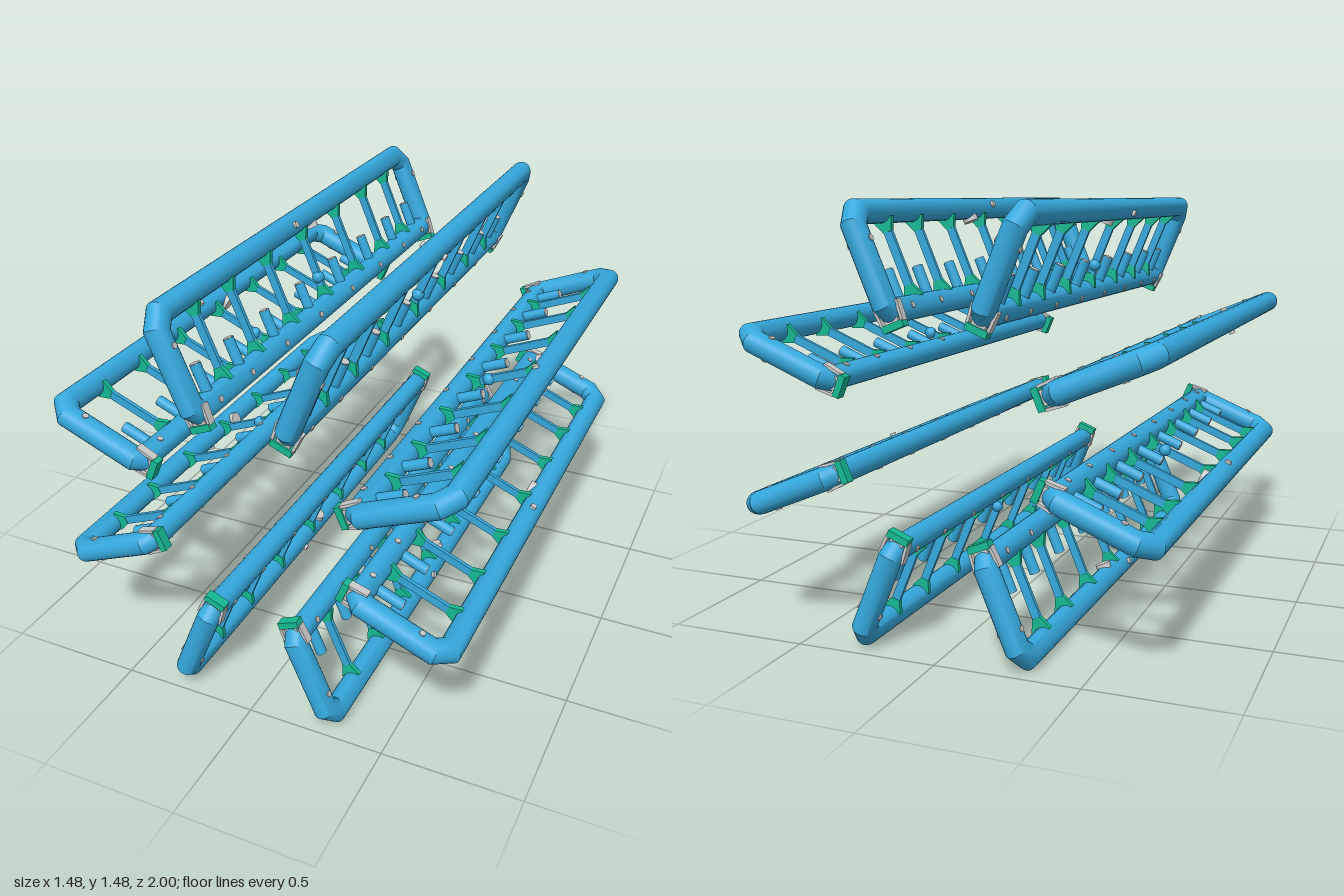
import * as THREE from 'three';
import { toCreasedNormals } from 'three/addons/utils/BufferGeometryUtils.js';

const blue = new THREE.MeshStandardMaterial({ color: 0x35a8dc });
const teal = new THREE.MeshStandardMaterial({ color: 0x14b892 });
const grey = new THREE.MeshStandardMaterial({ color: 0xcccccc });

// Coil frame: local x is radial, y tangential, z along the axis
const R = 0.041, INNER = 0.422, OUTER = 0.756, END = 0.959, AXIS_Y = 0.74;

// Closed round tube with mitred corners through [x, z] points
function mitredLoop(points, radius, sides = 24) {
  const n = points.length, pos = [], index = [];
  const normal = (a, b) => {
    const dx = b[0] - a[0], dz = b[1] - a[1], l = Math.hypot(dx, dz);
    return [dz / l, -dx / l];
  };
  for (let i = 0; i < n; i++) {
    const p = points[i];
    const n1 = normal(points[(i + n - 1) % n], p), n2 = normal(p, points[(i + 1) % n]);
    const k = 1 + n1[0] * n2[0] + n1[1] * n2[1];
    const m = [(n1[0] + n2[0]) / k, (n1[1] + n2[1]) / k];
    for (let j = 0; j < sides; j++) {
      const a = (j / sides) * Math.PI * 2, c = radius * Math.cos(a);
      pos.push(p[0] + m[0] * c, radius * Math.sin(a), p[1] + m[1] * c);
      const j2 = (j + 1) % sides, r0 = i * sides, r1 = ((i + 1) % n) * sides;
      index.push(r0 + j, r0 + j2, r1 + j, r0 + j2, r1 + j2, r1 + j);
    }
  }
  const g = new THREE.BufferGeometry();
  g.setAttribute('position', new THREE.Float32BufferAttribute(pos, 3));
  g.setIndex(index);
  return toCreasedNormals(g, 0.5);
}

const radialCylinder = (r, len) => new THREE.CylinderGeometry(r, r, len, 16).rotateZ(-Math.PI / 2);

// Flat trapezoid that widens towards x = 0, thin along z
function flareGeometry(length, wide, narrow, depth) {
  const s = new THREE.Shape([
    new THREE.Vector2(0, -wide), new THREE.Vector2(length, -narrow),
    new THREE.Vector2(length, narrow), new THREE.Vector2(0, wide),
  ]);
  return new THREE.ExtrudeGeometry(s, { depth, bevelEnabled: false }).translate(0, 0, -depth / 2);
}

const co = 0.045, ci = 0.026;
const geo = {
  casing: mitredLoop([
    [OUTER, -END + co], [OUTER, END - co], [OUTER - co, END], [INNER + ci, END],
    [INNER, END - ci], [INNER, -END + ci], [INNER + ci, -END], [OUTER - co, -END],
  ], R),
  rib: new THREE.BoxGeometry(OUTER - INNER, 0.03, 0.015),
  flare: flareGeometry(0.045, 0.036, 0.015, 0.018),
  stub: radialCylinder(0.019, 0.135),
  stubCap: radialCylinder(0.0165, 0.004),
  pin: new THREE.CylinderGeometry(0.011, 0.011, 2 * R + 0.006, 12),
  sidePort: new THREE.CylinderGeometry(0.012, 0.012, 2 * R + 0.02, 12),
  port: radialCylinder(0.028, 0.03),
  clamp: new THREE.SphereGeometry(0.023, 16, 12),
  foot: new THREE.BoxGeometry(0.024, 0.078, 0.036),
  web: new THREE.BoxGeometry(0.03, 0.05, 0.024),
  cheek: new THREE.BoxGeometry(0.07, 0.01, 0.03),
};

function createCoil() {
  const coil = new THREE.Group();
  const add = (name, geometry, material, x, y, z) => {
    const mesh = new THREE.Mesh(geometry, material);
    mesh.name = name;
    mesh.position.set(x, y, z);
    coil.add(mesh);
    return mesh;
  };
  add('coilCasing', geo.casing, blue, 0, 0, 0);

  // Cross ribs with flared roots at both long tubes
  for (const z of [-0.755, -0.535, -0.278, 0, 0.278, 0.535, 0.755]) {
    add('rib', geo.rib, blue, (INNER + OUTER) / 2, 0, z);
    add('ribFlareInner', geo.flare, teal, INNER + R - 0.012, 0, z);
    add('ribFlareOuter', geo.flare, teal, OUTER - R + 0.012, 0, z).rotation.z = Math.PI;
  }
  add('ribClamp', geo.clamp, blue, 0.53, 0, 0);

  // Stubs on the inner tube, each with a cross pin
  for (const s of [-1, 1]) for (const z of [0.137, 0.405, 0.65, 0.857]) {
    add('stub', geo.stub, blue, 0.488, 0, s * z);
    add('stubCap', geo.stubCap, grey, 0.556, 0, s * z);
    add('crossPin', geo.pin, grey, INNER, 0, s * z);
  }

  // Service ports on the outer tube
  add('servicePort', geo.port, grey, OUTER - R + 0.003, 0, -0.08);
  add('sidePort', geo.sidePort, grey, OUTER, 0, 0.08);

  // End pins and mounting feet
  for (const s of [-1, 1]) {
    add('endPin', geo.pin, grey, 0.655, 0, s * END);
    add('footPlate', geo.foot, teal, 0.372, 0, s * 0.945);
    add('footWeb', geo.web, grey, 0.393, 0, s * 0.945);
    for (const t of [-1, 1]) {
      add('footCheek', geo.cheek, grey, 0.414, t * 0.04, s * 0.945).rotation.z = t * 0.08;
    }
  }
  return coil;
}

export function createModel() {
  const model = new THREE.Group();
  model.name = 'toroidMagnet';
  // Eight coils spaced evenly around the axis
  for (let i = 0; i < 8; i++) {
    const coil = createCoil();
    coil.name = 'coil' + (i + 1);
    coil.position.y = AXIS_Y;
    coil.rotation.z = Math.PI / 8 + (i * Math.PI) / 4;
    model.add(coil);
  }
  return model;
}
